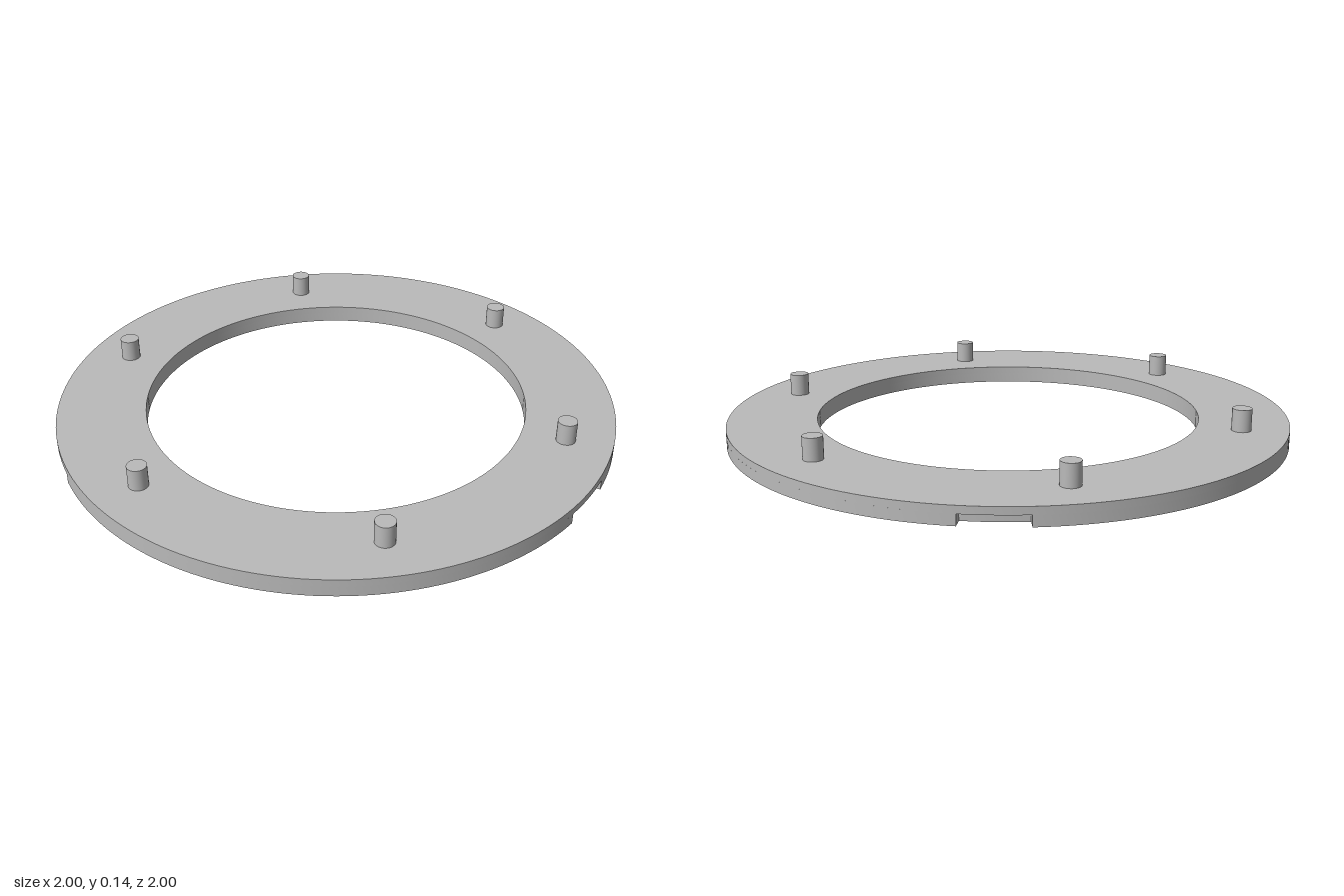
import * as THREE from 'three';
import { toCreasedNormals } from 'three/addons/utils/BufferGeometryUtils.js';

const OUTER = 1, INNER = 0.685, HEIGHT = 0.063, CUT = 0.037;
const rad = THREE.MathUtils.degToRad;
const polar = (r, deg) => new THREE.Vector2(r * Math.cos(rad(deg)), r * Math.sin(rad(deg)));

function circle(r, n = 160) {
  return Array.from({ length: n }, (_, i) => polar(r, (i * 360) / n));
}

// Outer outline with three shallow rim notches
function notchedOutline() {
  const pts = [];
  const half = 6.2, centres = [110, 225, 345.3];
  let a = 0;
  for (const c of centres) {
    for (; a < c - half - 0.5; a += 2) pts.push(polar(OUTER, a));
    pts.push(polar(OUTER, c - half));
    for (let k = 0; k <= 6; k++) pts.push(polar(0.957, c - half + (k * half) / 3));
    pts.push(polar(OUTER, c + half));
    a = c + half + 2;
  }
  for (; a < 359; a += 2) pts.push(polar(OUTER, a));
  return pts;
}

// Cam groove: runs in from near the rim, then follows the opening, with round ends
function grooveOutline(halfWidth = 0.035) {
  const keys = [[-88, 0.9], [-115, 0.9], [-140, 0.89], [-162, 0.848], [-185, 0.797], [-208, 0.758], [-232, 0.738]];
  for (let a = -255; a > -436; a -= 20) keys.push([a, 0.735]);
  keys.push([-438, 0.735]);
  const path = new THREE.CatmullRomCurve3(keys.map(([a, r]) => {
    const p = polar(r, a);
    return new THREE.Vector3(p.x, p.y, 0);
  }));
  const n = 180, left = [], right = [];
  const offset = (p, angle) =>
    new THREE.Vector2(p.x + halfWidth * Math.cos(angle), p.y + halfWidth * Math.sin(angle));
  const cap = (p, from) => Array.from({ length: 7 }, (_, k) => offset(p, from - ((k + 1) * Math.PI) / 8));
  let startDir, endDir;
  for (let i = 0; i <= n; i++) {
    const p = path.getPointAt(i / n), t = path.getTangentAt(i / n);
    const dir = Math.atan2(t.y, t.x);
    if (i === 0) startDir = dir;
    endDir = dir;
    left.push(offset(p, dir + Math.PI / 2));
    right.push(offset(p, dir - Math.PI / 2));
  }
  return [
    ...left, ...cap(path.getPointAt(1), endDir + Math.PI / 2),
    ...right.reverse(), ...cap(path.getPointAt(0), startDir - Math.PI / 2),
  ];
}

// Flat plate standing between two heights
function plate(name, outline, holes, y0, y1, material) {
  const shape = new THREE.Shape(outline);
  shape.holes = holes.map((h) => new THREE.Path(h));
  const geo = new THREE.ExtrudeGeometry(shape, { depth: y1 - y0, bevelEnabled: false });
  geo.rotateX(Math.PI / 2).translate(0, y1, 0);
  const mesh = new THREE.Mesh(toCreasedNormals(geo, 0.5), material);
  mesh.name = name;
  return mesh;
}

export function createModel() {
  const model = new THREE.Group();
  model.name = 'camRing';
  const grey = new THREE.MeshStandardMaterial({ color: 0xbababa });
  grey.name = 'grey';

  // Lower layer carries the notches and groove; the upper layer closes them
  model.add(plate('lowerRing', notchedOutline(), [circle(INNER), grooveOutline()], 0, CUT, grey));
  model.add(plate('upperRing', circle(OUTER, 180), [circle(INNER)], CUT, HEIGHT, grey));

  // Six locating pegs
  const pegGeo = new THREE.CylinderGeometry(0.034, 0.034, 0.08, 32);
  for (let i = 0; i < 6; i++) {
    const p = polar(0.838, 30 + i * 60);
    const peg = new THREE.Mesh(pegGeo, grey);
    peg.name = 'peg' + (i + 1);
    peg.position.set(p.x, 0.101, p.y);
    model.add(peg);
  }
  return model;
}
